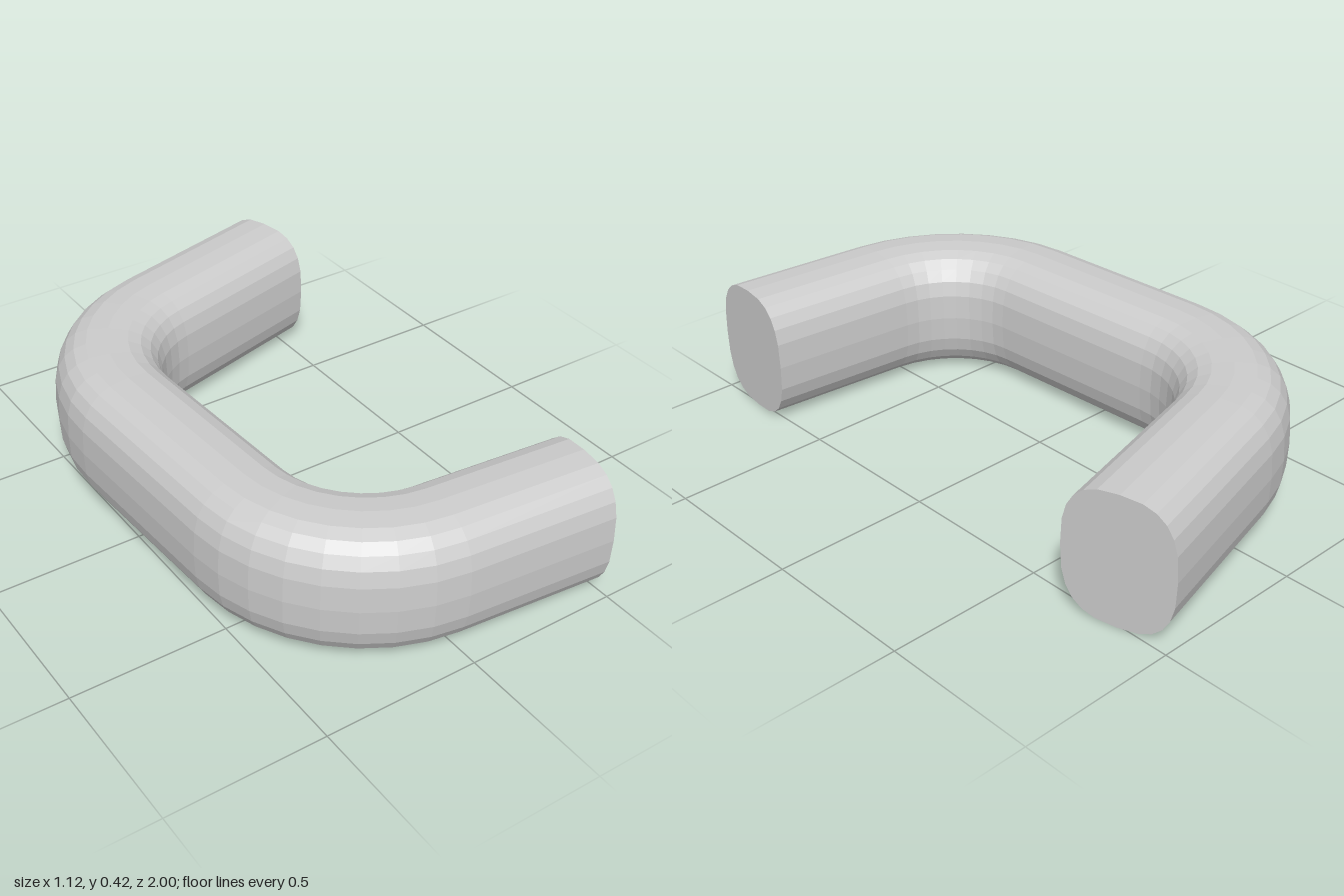
import * as THREE from 'three';

const SIDES = 24;
const HALF_W = 0.175, HALF_H = 0.21, POWER = 2 / 2.8;

// Rounded-square (superellipse) section as [sideways, up] offsets
const section = Array.from({ length: SIDES }, (_, j) => {
  const a = (j / SIDES) * Math.PI * 2;
  const soft = (v) => Math.sign(v) * Math.abs(v) ** POWER;
  return [HALF_W * soft(Math.cos(a)), HALF_H * soft(Math.sin(a))];
});

// Stations along a polyline in (x, z) whose inner corners become circular arcs
function filletPath(points, tangentLength, steps) {
  const dirs = points.slice(1).map((p, i) => p.clone().sub(points[i]).normalize());
  const stations = [{ p: points[0], t: dirs[0] }];
  for (let i = 1; i < points.length - 1; i++) {
    const d0 = dirs[i - 1], d1 = dirs[i];
    const turn = Math.atan2(d0.cross(d1), d0.dot(d1));
    const radius = tangentLength / Math.tan(turn / 2);
    const start = points[i].clone().addScaledVector(d0, -tangentLength);
    const normal = new THREE.Vector2(-d0.y, d0.x);
    for (let k = 0; k <= steps; k++) {
      const a = (turn * k) / steps;
      stations.push({
        p: start.clone().addScaledVector(d0, radius * Math.sin(a)).addScaledVector(normal, radius * (1 - Math.cos(a))),
        t: d0.clone().rotateAround(new THREE.Vector2(), a),
      });
    }
  }
  stations.push({ p: points.at(-1), t: dirs.at(-1) });
  return stations;
}

// Sweep the section along the stations and close both ends
function sweep(stations) {
  const pos = [], idx = [];
  for (const { p, t } of stations)
    for (const [s, u] of section) pos.push(p.x - t.y * s, HALF_H + u, p.y + t.x * s);
  const last = stations.length - 1;
  const startCentre = pos.length / 3, endCentre = startCentre + 1;
  for (const { p } of [stations[0], stations[last]]) pos.push(p.x, HALF_H, p.y);
  for (let j = 0; j < SIDES; j++) {
    const n = (j + 1) % SIDES;
    for (let i = 0; i < last; i++) {
      const a = i * SIDES, b = a + SIDES;
      idx.push(a + j, b + j, b + n, a + j, b + n, a + n);
    }
    idx.push(startCentre, j, n, endCentre, last * SIDES + n, last * SIDES + j);
  }
  const geometry = new THREE.BufferGeometry();
  geometry.setAttribute('position', new THREE.Float32BufferAttribute(pos, 3));
  geometry.setIndex(idx);
  const flat = geometry.toNonIndexed();
  flat.computeVertexNormals();
  return flat;
}

export function createModel() {
  const group = new THREE.Group();
  group.name = 'handle';

  // Back arm, grip and front arm in one continuous bar
  const path = [[0.51, -0.83], [-0.405, -0.585], [-0.342, 0.748], [0.51, 0.823]]
    .map(([x, z]) => new THREE.Vector2(x, z));
  const bar = new THREE.Mesh(
    sweep(filletPath(path, 0.365, 8)),
    new THREE.MeshStandardMaterial({ color: 0xcccccc, flatShading: true }),
  );
  bar.name = 'bentBar';
  group.add(bar);
  return group;
}
